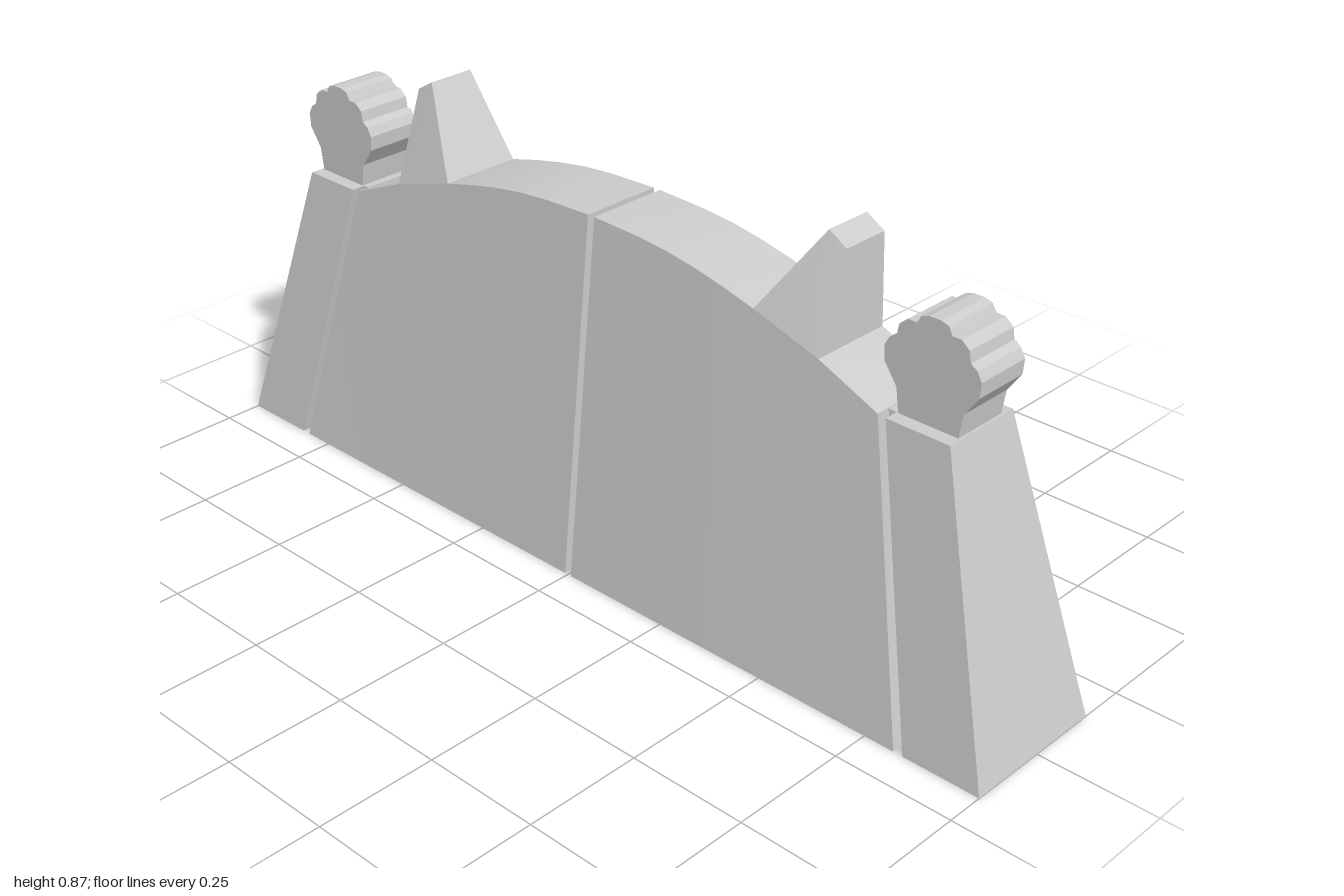
import * as THREE from 'three';
import { toCreasedNormals } from 'three/addons/utils/BufferGeometryUtils.js';

const material = new THREE.MeshStandardMaterial({ color: 0xcccccc });
const GAP = 0.008;          // half of the slot between the two halves
const LEAN = 0.1;           // slope of the wall sides

function add(group, name, geometry) {
  const mesh = new THREE.Mesh(geometry, material);
  mesh.name = name;
  group.add(mesh);
  return mesh;
}

// Skin a row of four-cornered rings and cap the ends; s = -1 mirrors in z.
function loft(rings, s) {
  const out = [];
  const tri = (a, b, c) => {
    for (const p of s > 0 ? [a, b, c] : [a, c, b]) out.push(p[0], p[1], p[2] * s);
  };
  const quad = (a, b, c, d) => { tri(a, b, c); tri(a, c, d); };
  for (let i = 0; i + 1 < rings.length; i++) {
    const p = rings[i], q = rings[i + 1];
    for (let k = 0; k < 4; k++) {
      const n = (k + 1) % 4;
      quad(p[k], q[k], q[n], p[n]);
    }
  }
  quad(...rings[0]);
  quad(...rings[rings.length - 1].slice().reverse());
  const g = new THREE.BufferGeometry();
  g.setAttribute('position', new THREE.Float32BufferAttribute(out, 3));
  g.computeVertexNormals();
  return toCreasedNormals(g, 0.35);
}

// Extrude a [z, y] outline along x, from x0 to x1.
function slab(points, x0, x1, s) {
  const shape = new THREE.Shape(points.map(([z, y]) => new THREE.Vector2(-z * s, y)));
  const g = new THREE.ExtrudeGeometry(shape, { depth: x1 - x0, bevelEnabled: false });
  g.rotateY(Math.PI / 2);
  g.translate(x0, 0, 0);
  return g;
}

// Points of an arc, kept clear of the central slot.
function arc(r, a0, a1, cy = 0, n = 24) {
  return Array.from({ length: n + 1 }, (_, i) => {
    const a = a0 + (a1 - a0) * i / n;
    return [Math.max(GAP, r * Math.cos(a)), cy + r * Math.sin(a)];
  });
}

function ellipse(cz, cy, rz, ry, tilt) {
  return Array.from({ length: 12 }, (_, i) => {
    const a = i / 12 * Math.PI * 2, u = rz * Math.cos(a), v = ry * Math.sin(a);
    return [cz + u * Math.cos(tilt) - v * Math.sin(tilt), cy + u * Math.sin(tilt) + v * Math.cos(tilt)];
  });
}

function half(s) {
  const group = new THREE.Group();

  // Tapered wall with its end post; columns are [bottom z, top z, top y, inset]
  const columns = [
    [1, 0.835, 0.597, 0], [0.835, 0.7, 0.597, 0],
    [0.835, 0.7, 0.597, 0.03], [0.815, 0.683, 0.597, 0.03],
    [0.815, 0.683, 0.599, 0], [0.55, 0.55, 0.655, 0], [0.4, 0.4, 0.7, 0],
    [0.33, 0.33, 0.718, 0], [0.26, 0.26, 0.733, 0], [0.19, 0.19, 0.744, 0],
    [0.12, 0.12, 0.75, 0], [GAP, GAP, 0.754, 0],
  ];
  add(group, 'wallWithPost', loft(columns.map(([zb, zt, y, d]) => [
    [-0.17 + d, 0, zb], [0.153 - d, 0, zb], [0.08 - d, y, zt], [-0.097 + d, y, zt],
  ]), s));

  // Pointed ear on the wall top
  add(group, 'ear', loft([
    [[-0.097, 0.655, 0.55], [-0.097, 0.7, 0.4], [0.08, 0.7, 0.4], [0.08, 0.655, 0.55]],
    [[-0.033, 0.842, 0.55], [-0.033, 0.866, 0.51], [0.07, 0.866, 0.51], [0.07, 0.842, 0.55]],
  ], s));

  // Paw on the post, symmetric about its own centre line
  const side = [[0.062, 0.59], [0.07, 0.645], [0.098, 0.685], [0.1, 0.715], [0.09, 0.733],
    [0.076, 0.742], [0.072, 0.764], [0.055, 0.778], [0.036, 0.778], [0.028, 0.793], [0.012, 0.798]];
  const pawZ = 0.767;
  const outline = [
    ...side.map(([u, y]) => [pawZ + u, y]),
    ...side.slice().reverse().map(([u, y]) => [pawZ - u, y]),
  ];
  add(group, 'paw', slab(outline, -0.068, 0.053, s));

  // Raised pads on the paw
  for (const m of [-1, 1]) {
    add(group, 'toePad', slab(ellipse(pawZ + m * 0.022, 0.758, 0.014, 0.022, -m * 0.1), 0.05, 0.061, s));
    add(group, 'toePad', slab(ellipse(pawZ + m * 0.067, 0.717, 0.014, 0.021, -m * 0.4), 0.05, 0.061, s));
  }
  const pad = [[0.052, 0.632], [0.058, 0.65], [0.045, 0.678], [0.025, 0.702], [0.01, 0.712]];
  add(group, 'palmPad', slab([
    ...pad.map(([u, y]) => [pawZ + u, y]),
    ...pad.slice().reverse().map(([u, y]) => [pawZ - u, y]),
    [pawZ - 0.02, 0.638], [pawZ + 0.02, 0.638],
  ], 0.05, 0.061, s));

  // Half of the round plate, with an upper and a lower curved channel
  const q = Math.PI / 2;
  const plate = add(group, 'roundPlate', slab([
    ...arc(0.26, q, -q),
    ...arc(0.232, -q, 0), ...arc(0.198, 0, -q),
    ...arc(0.13, q, 0, -0.005), ...arc(0.163, 0, q, -0.005),
  ], -0.008, 0.02, s));
  plate.geometry.scale(1, 0.965, 1);
  plate.geometry.rotateZ(LEAN);
  plate.geometry.translate(0.123, 0.307, 0);
  return group;
}

export function createModel() {
  const model = new THREE.Group();
  model.name = 'barrier';
  for (const s of [1, -1]) {
    const g = half(s);
    g.name = s > 0 ? 'frontHalf' : 'backHalf';
    model.add(g);
  }
  return model;
}
